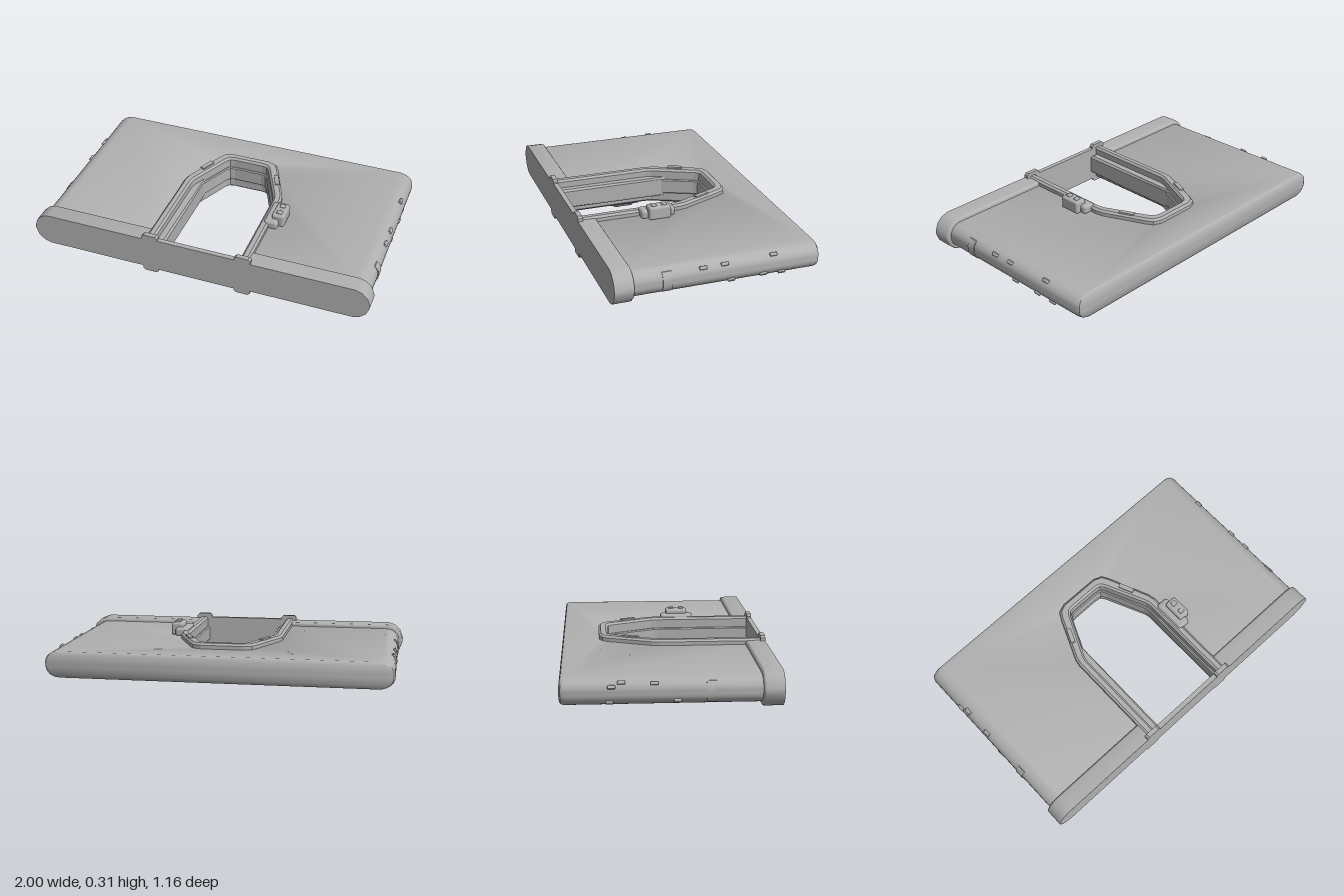
import * as THREE from 'three';
import { toCreasedNormals } from 'three/addons/utils/BufferGeometryUtils.js';
import { RoundedBoxGeometry } from 'three/addons/geometries/RoundedBoxGeometry.js';

const MID = 0.157; // height of the slab's middle plane

export function createModel() {
  const model = new THREE.Group();
  const body = new THREE.Group();
  body.name = 'wallSegment';
  body.position.y = MID;
  model.add(body);
  const grey = new THREE.MeshStandardMaterial({ color: 0xb0b0b0 });
  grey.name = 'plain grey';

  const add = (parent, geometry, name, x = 0, y = 0, z = 0) => {
    const mesh = new THREE.Mesh(geometry, grey);
    mesh.name = name;
    mesh.position.set(x, y, z);
    parent.add(mesh);
    return mesh;
  };
  const shapeOf = pts => new THREE.Shape(pts.map(p => new THREE.Vector2(p[0], p[1])));
  // right half of an arch, continued by its mirror image
  const arch = pts => [...pts, ...pts.map(p => [-p[0], p[1]]).reverse()];
  // outline in x and -z, given a thickness in y of 2 * half with bevelled rims
  const slab = (pts, half, bevel, thick = bevel, segments = 1) => {
    const g = new THREE.ExtrudeGeometry(shapeOf(pts), {
      depth: 2 * (half - thick), bevelEnabled: true, bevelSize: bevel, bevelOffset: -bevel,
      bevelThickness: thick, bevelSegments: segments,
    });
    g.translate(0, 0, -(half - thick));
    g.rotateX(-Math.PI / 2);
    return g;
  };
  // how far the rounded side falls back at height y
  const fallBack = (y, flat, r) => {
    const d = Math.min(1, Math.max(0, Math.abs(y) - flat) / r);
    return 1 - Math.sqrt(1 - d * d);
  };
  const sideX = y => 0.975 - 0.08 * fallBack(y, 0.01, 0.065);

  // wall slab with a door notch and rounded side edges
  const notch = arch([[0.28, -0.5], [0.28, 0.02], [0.165, 0.29], [0.12, 0.335]]).reverse();
  const wallGeo = slab([
    ...arch([[0.975, -0.5], [0.975, 0.55], [0.966, 0.571], [0.945, 0.58]]), ...notch,
  ], 0.075, 0.015, 0.065, 6);
  const p = wallGeo.attributes.position;
  for (let i = 0; i < p.count; i++) {
    const x = p.getX(i);
    if (Math.abs(x) > 0.85) p.setX(i, x - Math.sign(x) * 0.065 * fallBack(p.getY(i), 0.01, 0.065));
  }
  add(body, toCreasedNormals(wallGeo, 0.6), 'wall');

  // thicker base strip on both sides of the door
  const basePts = [[0.26, -0.098], [0.91, -0.098], [0.95, -0.085], [0.982, -0.055], [0.995, -0.02],
    [1, 0], [0.995, 0.02], [0.982, 0.055], [0.95, 0.085], [0.91, 0.098], [0.26, 0.098]];
  for (const side of [0, Math.PI]) {
    const g = new THREE.ExtrudeGeometry(shapeOf(basePts), {
      depth: 0.1, bevelEnabled: true, bevelSize: 0.014, bevelOffset: -0.014, bevelThickness: 0.014, bevelSegments: 3,
    });
    g.translate(0, 0, 0.484);
    const q = g.attributes.position;
    for (let i = 0; i < q.count; i++) { // square front rim
      if (q.getZ(i) > 0.58) q.setZ(i, 0.58);
    }
    // keep the front outline at full size
    for (let i = 0; i < q.count; i++) q.setZ(i, Math.min(q.getZ(i), 0.58));
    add(body, toCreasedNormals(g, 0.6), 'baseStrip').rotation.z = side;
  }

  // door frame: a main arch, a slimmer raised inner lining
  const outer = arch([[0.305, -0.575], [0.305, 0.02], [0.296, 0.065], [0.195, 0.3], [0.17, 0.345], [0.12, 0.365]]);
  const inner = arch([[0.255, -0.575], [0.255, 0.005], [0.248, 0.04], [0.135, 0.285], [0.118, 0.305], [0.09, 0.311]]);
  const lining = arch([[0.242, -0.56], [0.242, 0.003], [0.235, 0.036], [0.13, 0.272], [0.113, 0.294], [0.086, 0.3]]);
  add(body, slab([...outer, ...[...inner].reverse()], 0.108, 0.012), 'doorFrame');
  const mouth = arch([[0.27, -0.56], [0.27, 0.005], [0.148, 0.29], [0.09, 0.325]]);
  add(body, slab([...mouth, ...[...lining].reverse()], 0.045, 0.006), 'doorLining');

  // door leaf, slid almost fully into the wall
  add(body, slab([[-0.27, -0.555], [-0.21, -0.555], [-0.21, 0.15], [-0.23, 0.11], [-0.27, 0.02]], 0.06, 0.012),
    'slidingDoor');

  // threshold
  add(body, new THREE.BoxGeometry(0.52, 0.21, 0.028), 'threshold', 0, 0, 0.566);

  // frame feet and thin plates on the slanted frame members
  const footPts = arch([[0.035, -0.128], [0.047, -0.116], [0.047, 0.116], [0.035, 0.128]]);
  for (const s of [-1, 1]) {
    const foot = new THREE.ExtrudeGeometry(shapeOf(footPts), { depth: 0.027, bevelEnabled: false });
    add(body, foot, 'frameFoot', s * 0.275, 0, 0.553);
    for (const up of [-1, 1]) {
      const plate = add(body, new THREE.BoxGeometry(0.026, 0.009, 0.09), 'framePlate', s * 0.222, up * 0.112, -0.185);
      plate.rotation.y = s * 0.41;
    }
  }

  // control box on each face, the second turned over
  for (const turn of [0, Math.PI]) {
    const control = new THREE.Group();
    control.name = 'doorControl';
    control.rotation.z = turn;
    body.add(control);
    add(control, new RoundedBoxGeometry(0.08, 0.055, 0.2, 2, 0.018), 'controlBracket', 0.315, 0.095, 0.12);
    add(control, new RoundedBoxGeometry(0.074, 0.078, 0.13, 2, 0.014), 'controlBox', 0.348, 0.109, 0.12);
    for (const z of [0.09, 0.15]) {
      add(control, new RoundedBoxGeometry(0.032, 0.018, 0.028, 2, 0.006), 'controlButton', 0.35, 0.148, z);
    }
  }

  // small raised chips and one curved patch on each side edge: [z, y]
  const chips = {
    1: [[0.09, 0.043], [-0.03, 0.045], [-0.07, -0.045], [-0.25, -0.04], [-0.31, 0.052], [-0.36, -0.048]],
    '-1': [[0.03, -0.04], [-0.09, 0.045], [-0.26, 0.05], [-0.31, 0.03], [-0.32, -0.045]],
  };
  const ys = [-0.056, -0.045, -0.03, -0.015, 0, 0.015, 0.03, 0.045, 0.056];
  const patchPts = [...ys.map(y => [sideX(y) + 0.005, y]), [0.88, 0.056], [0.88, -0.056]];
  for (const s of [1, -1]) {
    for (const [z, y] of chips[s]) {
      const chip = add(body, new RoundedBoxGeometry(0.03, 0.02, 0.042, 1, 0.005), 'edgeChip', s * (sideX(y) - 0.006), y, z);
      chip.rotation.z = s * Math.sign(y) * 0.6;
    }
    const patch = new THREE.ExtrudeGeometry(shapeOf(patchPts), { depth: 0.052, bevelEnabled: false });
    add(body, toCreasedNormals(patch, 0.5), 'edgePatch', 0, 0, s > 0 ? 0.262 : 0.18).rotation.z = s > 0 ? 0 : Math.PI;
  }
  return model;
}
